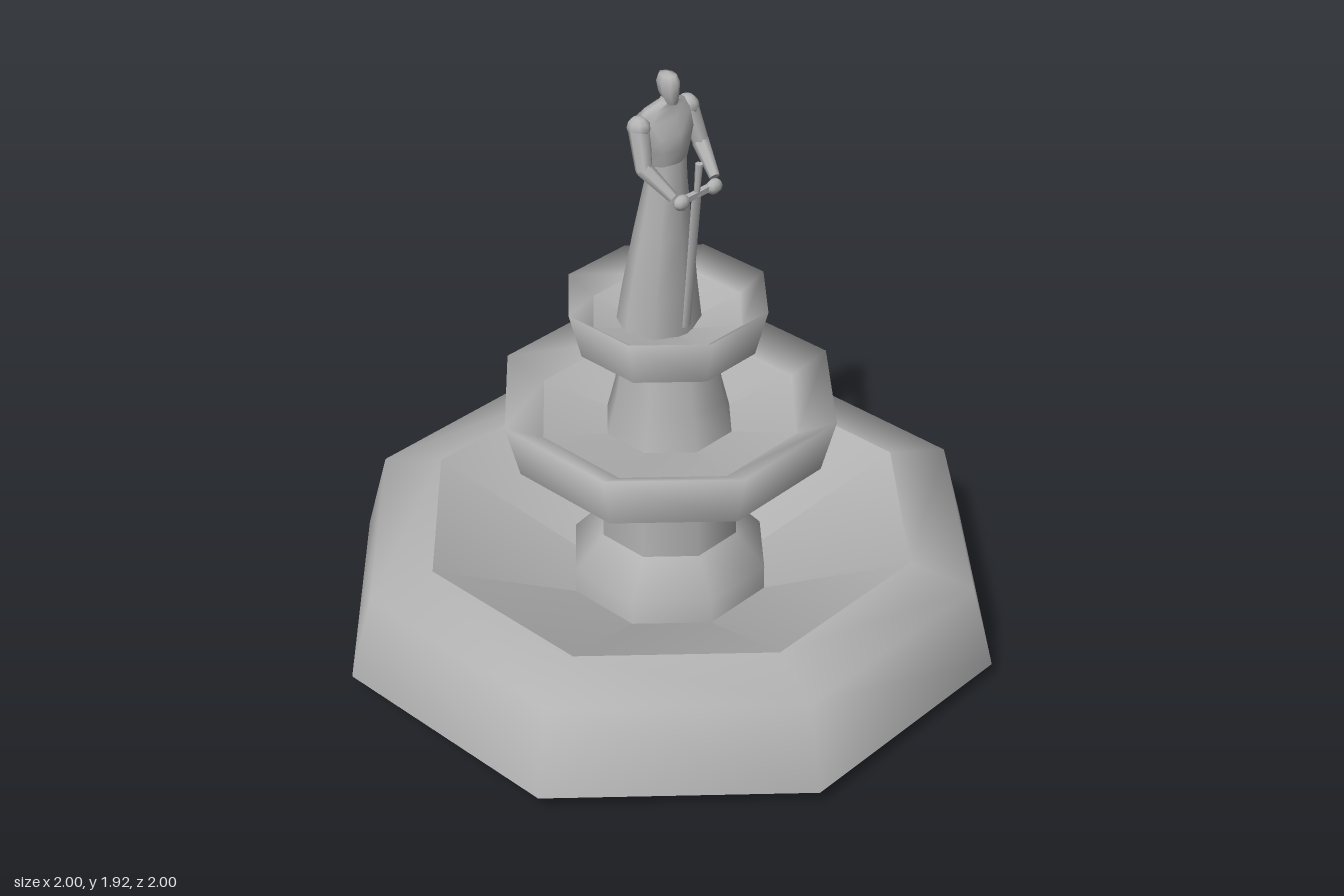
import * as THREE from 'three';
import { mergeVertices } from 'three/addons/utils/BufferGeometryUtils.js';

const stone = new THREE.MeshStandardMaterial({ color: 0xb3b3b3, side: THREE.DoubleSide });
stone.name = 'stone';

function add(group, name, geometry) {
  const mesh = new THREE.Mesh(geometry, stone);
  mesh.name = name;
  group.add(mesh);
  return mesh;
}

// Octagonal turned part; profile is [distance to flat side, height], flats face the axes
function octagon(profile) {
  const k = 1 / Math.cos(Math.PI / 8);
  const geometry = new THREE.LatheGeometry(profile.map(([r, y]) => new THREE.Vector2(r * k, y)), 8);
  return geometry.rotateY(Math.PI / 8);
}

// Smooth elliptical loft; sections are [y, centre x, radius x, radius z] from bottom to top
function loft(sections, sides = 8) {
  const rows = [...sections].reverse();
  const geometry = new THREE.CylinderGeometry(1, 1, 1, sides, rows.length - 1, true);
  const p = geometry.attributes.position;
  for (let i = 0; i < p.count; i++) {
    const [y, cx, rx, rz] = rows[Math.floor(i / (sides + 1))];
    p.setXYZ(i, cx + p.getX(i) * rx, y, p.getZ(i) * rz);
  }
  geometry.deleteAttribute('uv');
  geometry.deleteAttribute('normal');
  const merged = mergeVertices(geometry);
  merged.computeVertexNormals();
  return merged;
}

// Tapered limb between two points
function limb(group, name, a, b, ra, rb, sides = 7) {
  const from = new THREE.Vector3(...a);
  const to = new THREE.Vector3(...b);
  const dir = to.clone().sub(from);
  const mesh = add(group, name, new THREE.CylinderGeometry(rb, ra, dir.length(), sides));
  mesh.position.copy(from).add(to).multiplyScalar(0.5);
  mesh.quaternion.setFromUnitVectors(new THREE.Vector3(0, 1, 0), dir.normalize());
  return mesh;
}

function ball(group, name, pos, scale) {
  const mesh = add(group, name, new THREE.SphereGeometry(1, 8, 6));
  mesh.position.set(...pos);
  mesh.scale.set(...scale);
}

function createStatue() {
  const statue = new THREE.Group();
  statue.name = 'statue';
  statue.position.z = 0.008;

  // Long robe and torso, facing +x
  add(statue, 'robe', loft([
    [1.06, -0.036, 0.12, 0.148], [1.2, -0.032, 0.102, 0.13], [1.4, -0.018, 0.08, 0.098],
    [1.58, -0.004, 0.058, 0.068], [1.66, 0, 0.05, 0.066],
  ]));
  add(statue, 'torso', loft([
    [1.64, 0, 0.05, 0.066], [1.69, 0, 0.056, 0.082], [1.74, -0.003, 0.06, 0.1],
    [1.785, -0.02, 0.052, 0.115], [1.815, -0.012, 0.034, 0.08],
    [1.835, 0, 0.022, 0.028], [1.85, 0.005, 0.02, 0.022],
  ]));
  add(statue, 'head', loft([
    [1.822, 0.018, 0, 0], [1.83, 0.016, 0.022, 0.018], [1.865, 0.007, 0.035, 0.027],
    [1.895, 0.004, 0.04, 0.029], [1.918, 0.002, 0.03, 0.022], [1.925, 0, 0, 0],
  ]));

  // Arms reaching forward to the sword
  for (const s of [1, -1]) {
    const arm = new THREE.Group();
    arm.name = s > 0 ? 'armLeft' : 'armRight';
    const shoulder = [-0.015, 1.775, s * 0.103];
    const elbow = [0.022, 1.66, s * 0.122];
    const wrist = [0.108, 1.585, s * 0.09];
    ball(arm, 'shoulder', shoulder, [0.038, 0.036, 0.034]);
    limb(arm, 'upperArm', shoulder, elbow, 0.034, 0.026);
    ball(arm, 'elbow', elbow, [0.026, 0.028, 0.025]);
    limb(arm, 'forearm', elbow, wrist, 0.027, 0.017);
    ball(arm, 'hand', [0.124, 1.567, s * 0.07], [0.021, 0.024, 0.03]);
    statue.add(arm);
  }

  // Sword standing point down in front of the figure
  const sword = new THREE.Group();
  sword.name = 'sword';
  limb(sword, 'blade', [0.08, 1.1, 0], [0.119, 1.565, 0], 0.01, 0.012, 4).scale.z = 1.8;
  limb(sword, 'grip', [0.119, 1.565, 0], [0.128, 1.67, 0], 0.009, 0.012, 6);
  const guard = add(sword, 'crossguard', new THREE.BoxGeometry(0.018, 0.018, 0.14));
  guard.position.set(0.119, 1.567, 0);
  statue.add(sword);
  return statue;
}

export function createModel() {
  const model = new THREE.Group();
  model.name = 'fountain';

  // Large basin: open skirt and rim, with a conical floor down to the centre
  add(model, 'basinWall', octagon([[1, 0.055], [0.93, 0.33], [0.74, 0.375]]));
  add(model, 'basinFloor', octagon([[0.74, 0.375], [0, 0]]));

  // Pedestal with a flared foot
  add(model, 'pedestalFoot', octagon([[0.3, 0.052], [0.3, 0.235], [0.21, 0.345]]));
  add(model, 'pedestalColumn', octagon([[0.21, 0.34], [0.21, 0.66]]));

  // Middle bowl
  add(model, 'middleBowlBase', octagon([[0, 0.655], [0.462, 0.655]]));
  add(model, 'middleBowlWall', octagon([[0.462, 0.655], [0.505, 0.835], [0.39, 0.77]]));
  add(model, 'middleBowlFloor', octagon([[0.39, 0.77], [0, 0.68]]));
  add(model, 'upperColumn', octagon([[0.2, 0.69], [0.166, 0.835], [0.137, 1.03]]));

  // Top bowl
  const top = new THREE.Group();
  top.name = 'topBowl';
  top.position.x = -0.007;
  add(top, 'topBowlBase', octagon([[0, 1.022], [0.263, 1.022]]));
  add(top, 'topBowlWall', octagon([[0.263, 1.022], [0.3, 1.175], [0.225, 1.115]]));
  add(top, 'topBowlFloor', octagon([[0.225, 1.115], [0, 1.045]]));
  model.add(top);

  model.add(createStatue());
  return model;
}
